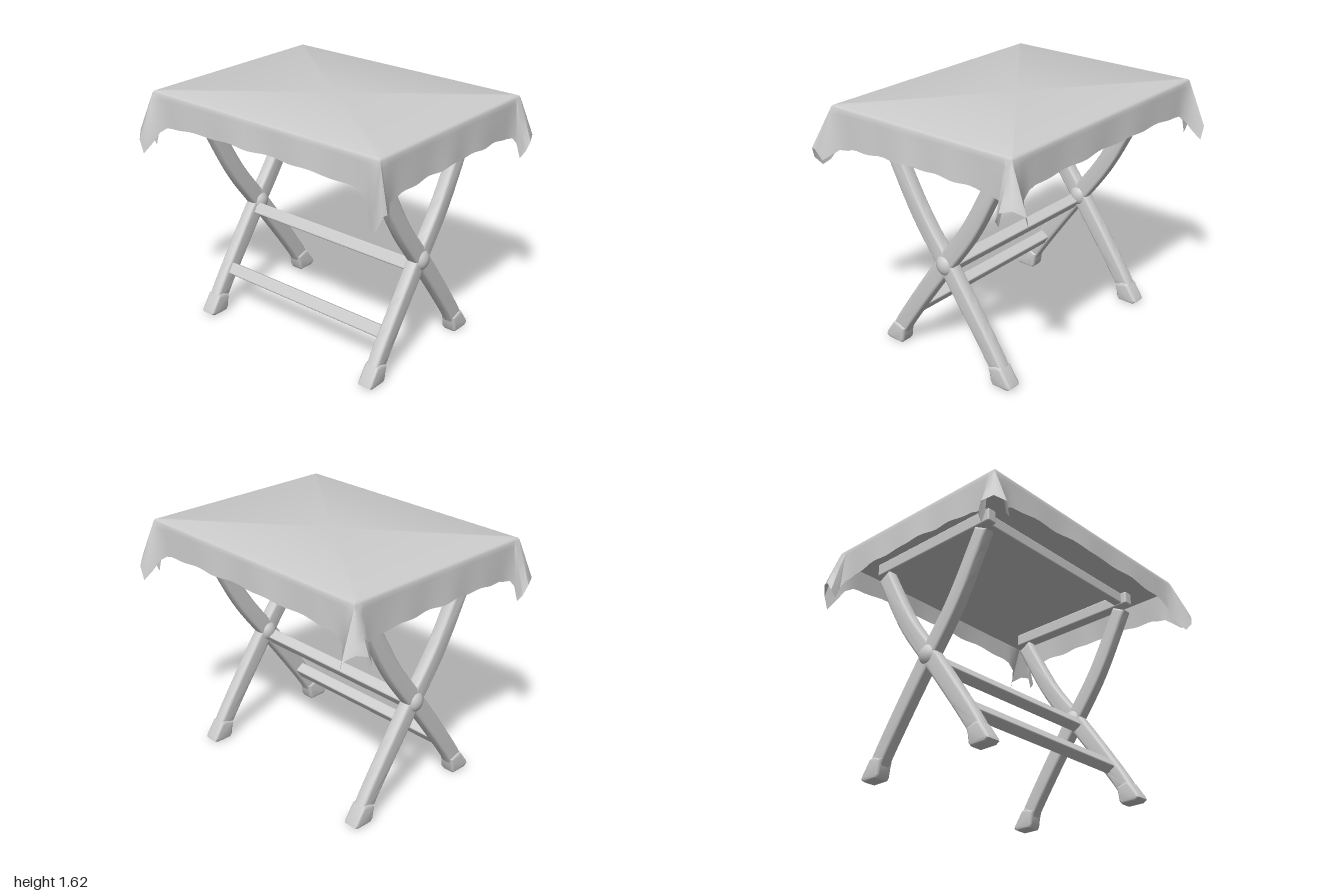
import * as THREE from 'three';
import { toCreasedNormals } from 'three/addons/utils/BufferGeometryUtils.js';
import { RoundedBoxGeometry } from 'three/addons/geometries/RoundedBoxGeometry.js';

const grey = new THREE.MeshStandardMaterial({ color: 0xcccccc, side: THREE.DoubleSide });
grey.name = 'plain grey';

const TOP = 1.62, HX = 0.9, HZ = 0.7;
const LEG_X = [-0.705, 0.672];
const LEAN = -0.58; // tilt of the stretchers, matching the front-footed legs

function add(group, name, geometry, x = 0, y = 0, z = 0) {
  const mesh = new THREE.Mesh(geometry, grey);
  mesh.name = name;
  mesh.position.set(x, y, z);
  group.add(mesh);
  return mesh;
}

// Extrudes a side profile (z, y) across the given x width, with rounded edges
function sideExtrude(points, width, bevel) {
  const geometry = new THREE.ExtrudeGeometry(new THREE.Shape(points), {
    depth: width - 2 * bevel, bevelEnabled: true, bevelSize: bevel,
    bevelThickness: bevel, bevelOffset: -bevel, bevelSegments: 4,
  });
  geometry.translate(0, 0, bevel - width / 2);
  geometry.rotateY(-Math.PI / 2);
  return toCreasedNormals(geometry, 0.6);
}

// Slightly curved leg, running from a foot at the front to the back of the top
function legGeometry() {
  const path = new THREE.CatmullRomCurve3(
    [[0.42, 0.09], [0.385, 0.15], [0.2, 0.42], [0.02, 0.67], [-0.2, 0.97], [-0.435, 1.4]]
      .map(([z, y]) => new THREE.Vector3(z, y, 0)));
  const left = [], right = [], n = 24;
  for (let i = 0; i <= n; i++) {
    const p = path.getPointAt(i / n), t = path.getTangentAt(i / n);
    const half = 0.059 - 0.006 * Math.abs(2 * i / n - 1);
    left.push(new THREE.Vector2(p.x - t.y * half, p.y + t.x * half));
    right.push(new THREE.Vector2(p.x + t.y * half, p.y - t.x * half));
  }
  return sideExtrude([...right, ...left.reverse()], 0.084, 0.02);
}

// Rubber-like shoe with a flat sole
function footGeometry() {
  const outline = [[0.39, 0], [0.5, 0], [0.528, 0.018], [0.52, 0.04], [0.455, 0.135],
    [0.42, 0.14], [0.355, 0.115], [0.365, 0.08], [0.374, 0.02]];
  return sideExtrude(outline.map(p => new THREE.Vector2(...p)), 0.104, 0.018);
}

// Hem of the cloth as one loop: four flared corner flaps joined by wavy edges
function hemLoop() {
  const wide = [[-0.13, 0.01, 1.4], [-0.07, 0.02, 1.36], [-0.035, 0.06, 1.29], [-0.005, 0.11, 1.23],
    [0.02, 0.115, 1.32], [0.07, 0.06, 1.36], [0.1, -0.01, 1.34], [0.09, -0.045, 1.28],
    [0.055, -0.05, 1.23], [0.025, -0.05, 1.32], [0.01, -0.08, 1.36], [0.005, -0.14, 1.37]];
  const narrow = [[-0.13, 0.01, 1.41], [-0.08, 0.015, 1.38], [-0.06, 0.025, 1.32], [-0.02, 0.06, 1.25],
    [0.02, 0.09, 1.22], [0.07, 0.105, 1.28], [0.095, 0.09, 1.35], [0.1, 0.06, 1.35],
    [0.08, 0.02, 1.28], [0.05, -0.02, 1.31], [0.015, -0.07, 1.35], [0.01, -0.14, 1.36]];
  const corners = [[1, 1, narrow], [1, -1, wide], [-1, -1, wide], [-1, 1, wide]].map(([sx, sz, flap]) => {
    const points = flap.map(([dx, dz, y]) => new THREE.Vector3(sx * (HX + dx), y, sz * (HZ + dz)));
    return sx * sz > 0 ? points : points.reverse();
  });
  const loop = [];
  corners.forEach((corner, k) => {
    loop.push(...corner);
    const from = corner[corner.length - 1], to = corners[(k + 1) % 4][0];
    const alongX = k % 2 === 1, steps = 30;
    for (let i = 1; i < steps; i++) {
      const f = i / steps, fade = Math.sin(Math.PI * f);
      const p = from.clone().lerp(to, f);
      const wave = fade * (0.007 + 0.007 * Math.sin(f * 19 + k * 2));
      if (alongX) p.z += Math.sign(p.z) * wave;
      else p.x += Math.sign(p.x) * (wave + 0.006 * fade);
      p.y += 0.03 * Math.sqrt(fade) + 0.005 * Math.sin(f * 31 + k);
      loop.push(p);
    }
  });
  return loop;
}

// Cloth skin: flat top, soft edge, then a skirt reaching down to the hem
function clothGeometry() {
  const hem = hemLoop(), n = hem.length, rows = 8, position = [], index = [];
  const clamp = THREE.MathUtils.clamp;
  const ring = at => hem.forEach((p, i) => position.push(...at(p, i)));
  const inset = (p, d, y) => [clamp(p.x, d - HX, HX - d), y, clamp(p.z, d - HZ, HZ - d)];
  ring(() => [0, TOP, 0]);
  ring(p => inset(p, 0.018, TOP));
  ring(p => inset(p, 0.006, TOP - 0.005));
  for (let j = 0; j <= rows; j++) {
    const t = j / rows;
    ring(p => {
      const [x, y, z] = inset(p, 0, TOP - 0.018);
      return [x + (p.x - x) * t, y + (p.y - y) * t, z + (p.z - z) * t];
    });
  }
  for (let j = 0; j < rows + 3; j++) {
    for (let i = 0; i < n; i++) {
      const a = j * n + i, b = j * n + (i + 1) % n;
      if (j > 0) index.push(a, a + n, b);
      index.push(b, a + n, b + n);
    }
  }
  const geometry = new THREE.BufferGeometry();
  geometry.setAttribute('position', new THREE.Float32BufferAttribute(position, 3));
  geometry.setIndex(index);
  return toCreasedNormals(geometry, 0.75);
}

export function createModel() {
  const model = new THREE.Group();
  model.name = 'foldingTable';

  // Top board under its cloth
  add(model, 'tablecloth', clothGeometry());
  add(model, 'tableBoard', new THREE.BoxGeometry(1.76, 0.06, 1.36), 0, 1.565, 0);

  // Crossed legs, shoes, pivots and side rails
  const leg = legGeometry(), foot = footGeometry();
  const pivot = new THREE.SphereGeometry(0.072, 24, 16);
  LEG_X.forEach((x, i) => {
    const frame = new THREE.Group();
    frame.name = i ? 'leftLegFrame' : 'rightLegFrame';
    frame.position.x = x;
    model.add(frame);
    for (const turn of [0, Math.PI]) {
      const end = turn ? 'back' : 'front';
      add(frame, end + 'Leg', leg).rotation.y = turn;
      add(frame, end + 'Foot', foot).rotation.y = turn;
    }
    add(frame, 'pivot', pivot, 0, 0.69, 0).scale.set(0.95, 1.1, 1);
    add(frame, 'sideRail', new RoundedBoxGeometry(0.07, 0.09, 1.0, 3, 0.012), 0, 1.47, 0);
  });

  // Bars joining the two leg frames
  const span = LEG_X[1] - LEG_X[0], mid = (LEG_X[0] + LEG_X[1]) / 2;
  const bar = new RoundedBoxGeometry(span, 0.08, 0.075, 3, 0.01);
  add(model, 'middleStretcher', bar, mid, 0.645, 0.03).rotation.x = LEAN;
  add(model, 'lowerStretcher', bar, mid, 0.28, 0.295).rotation.x = LEAN;
  add(model, 'frontTopRail', new RoundedBoxGeometry(span, 0.08, 0.06, 3, 0.01), mid, 1.475, 0.43);

  return model;
}
